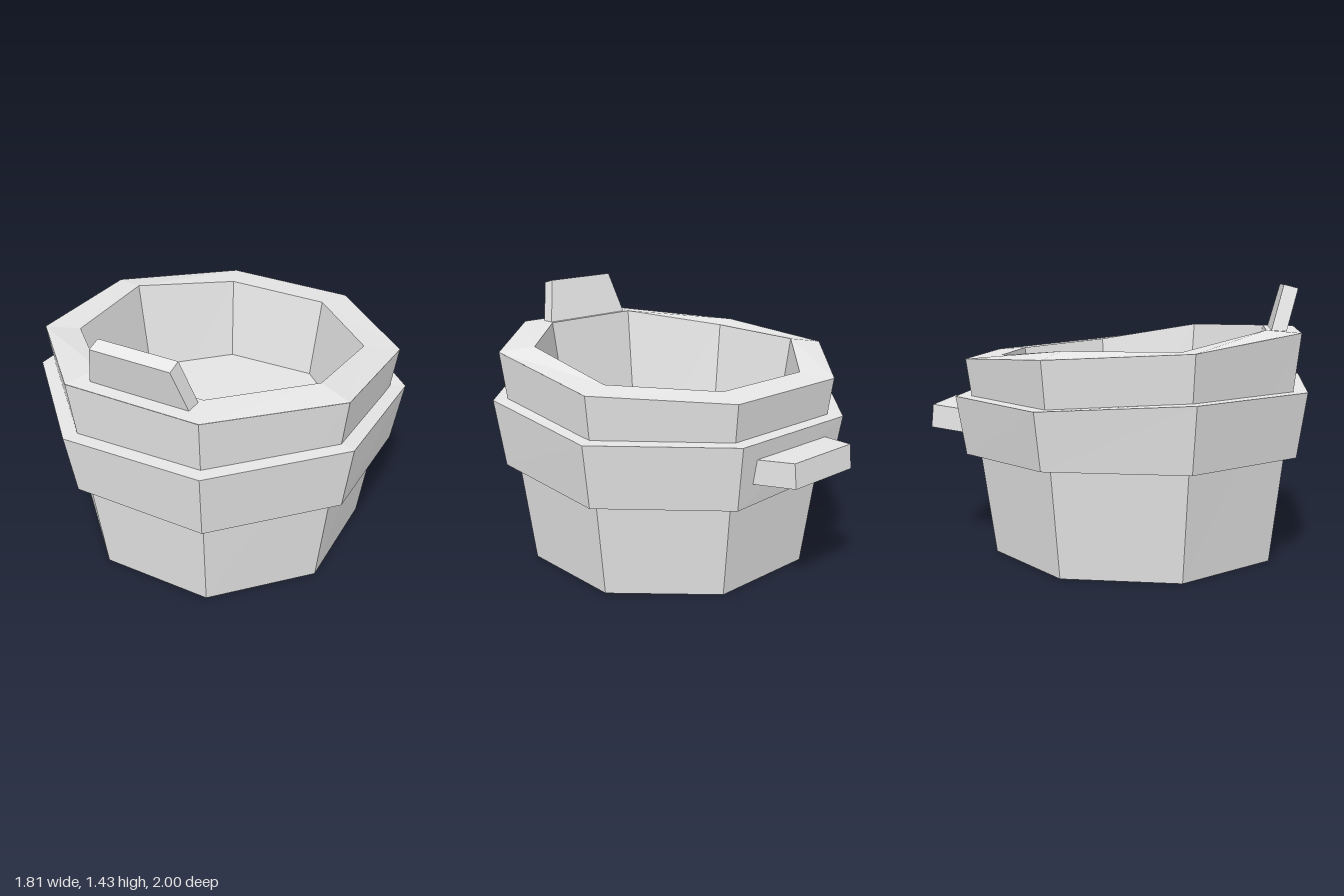
import * as THREE from 'three';

const SIDES = 8;

// Heights at the eight corners, from front-left round by the left side and back
const HOOP_BOTTOM = [0.56, 0.56, 0.52, 0.515, 0.54, 0.56, 0.56, 0.56];
const HOOP_TOP = [0.92, 0.92, 0.855, 0.85, 0.85, 0.85, 0.89, 0.895];
const RIM_OUTER = [1.195, 1.17, 1.08, 1.045, 1.045, 1.085, 1.12, 1.19];
const RIM_INNER = [1.2, 1.185, 1.09, 1.06, 1.06, 1.115, 1.115, 1.2];
const FLOOR = [0.66, 0.66, 0.63, 0.61, 0.6, 0.61, 0.63, 0.65];

// Corner of an octagonal ring; r is the distance to the middle of a side
function corner([r, y], i, centreZ) {
  const k = i % SIDES;
  const a = ((k + 0.5) / SIDES) * Math.PI * 2;
  const R = r / Math.cos(Math.PI / SIDES);
  return [R * Math.sin(a), Array.isArray(y) ? y[k] : y, centreZ + R * Math.cos(a)];
}

// Flat-sided skin through a list of rings
function loft(rings, centreZ) {
  const pos = [];
  for (let j = 0; j < rings.length - 1; j++) {
    for (let i = 0; i < SIDES; i++) {
      const a = corner(rings[j], i, centreZ), b = corner(rings[j], i + 1, centreZ);
      const c = corner(rings[j + 1], i + 1, centreZ), d = corner(rings[j + 1], i, centreZ);
      pos.push(...a, ...b, ...c, ...a, ...c, ...d);
    }
  }
  const g = new THREE.BufferGeometry();
  g.setAttribute('position', new THREE.Float32BufferAttribute(pos, 3));
  g.computeVertexNormals();
  return g;
}

// Tapered slab standing on its wide end, centred in depth
function taperedSlab(bottom, top, height, depth) {
  const s = new THREE.Shape();
  s.moveTo(-bottom, 0);
  s.lineTo(bottom, 0);
  s.lineTo(top, height);
  s.lineTo(-top, height);
  s.closePath();
  return new THREE.ExtrudeGeometry(s, { depth, bevelEnabled: false }).translate(0, 0, -depth / 2);
}

export function createModel() {
  const model = new THREE.Group();
  model.name = 'bucket';
  const grey = new THREE.MeshStandardMaterial({ color: 0xe7e7e7, side: THREE.DoubleSide, flatShading: true });
  grey.name = 'pale grey';

  const add = (name, geometry) => {
    const mesh = new THREE.Mesh(geometry, grey);
    mesh.name = name;
    model.add(mesh);
    return mesh;
  };

  // Outer staves in one run from the open foot to the sloping rim
  add('outerWall', loft([[0.725, 0], [0.86, RIM_OUTER]], 0.104));
  add('rim', loft([[0.86, RIM_OUTER], [0.688, RIM_INNER]], 0.103));
  // Uneven hoop wrapped round the staves, with its two ledges
  add('hoop', loft([[0.785, HOOP_BOTTOM], [0.857, HOOP_BOTTOM], [0.905, HOOP_TOP], [0.825, HOOP_TOP]], 0.096));
  // Inner lining, running on below the raised floor
  add('innerWall', loft([[0.688, RIM_INNER], [0.565, 0.22]], 0.103));
  add('floor', loft([[0.622, FLOOR], [0, 0.631]], 0.103));

  // Upright tab leaning out over the front
  const tab = add('frontTab', taperedSlab(0.275, 0.21, 0.258, 0.075));
  tab.position.set(0.003, 1.17, 0.849);
  tab.rotation.x = 0.255;

  // Stub handle on the back of the hoop
  const handle = add('backHandle', taperedSlab(0.27, 0.21, 0.246, 0.125));
  handle.position.set(0.007, 0.696, -0.749);
  handle.rotation.x = -1.475;

  return model;
}
